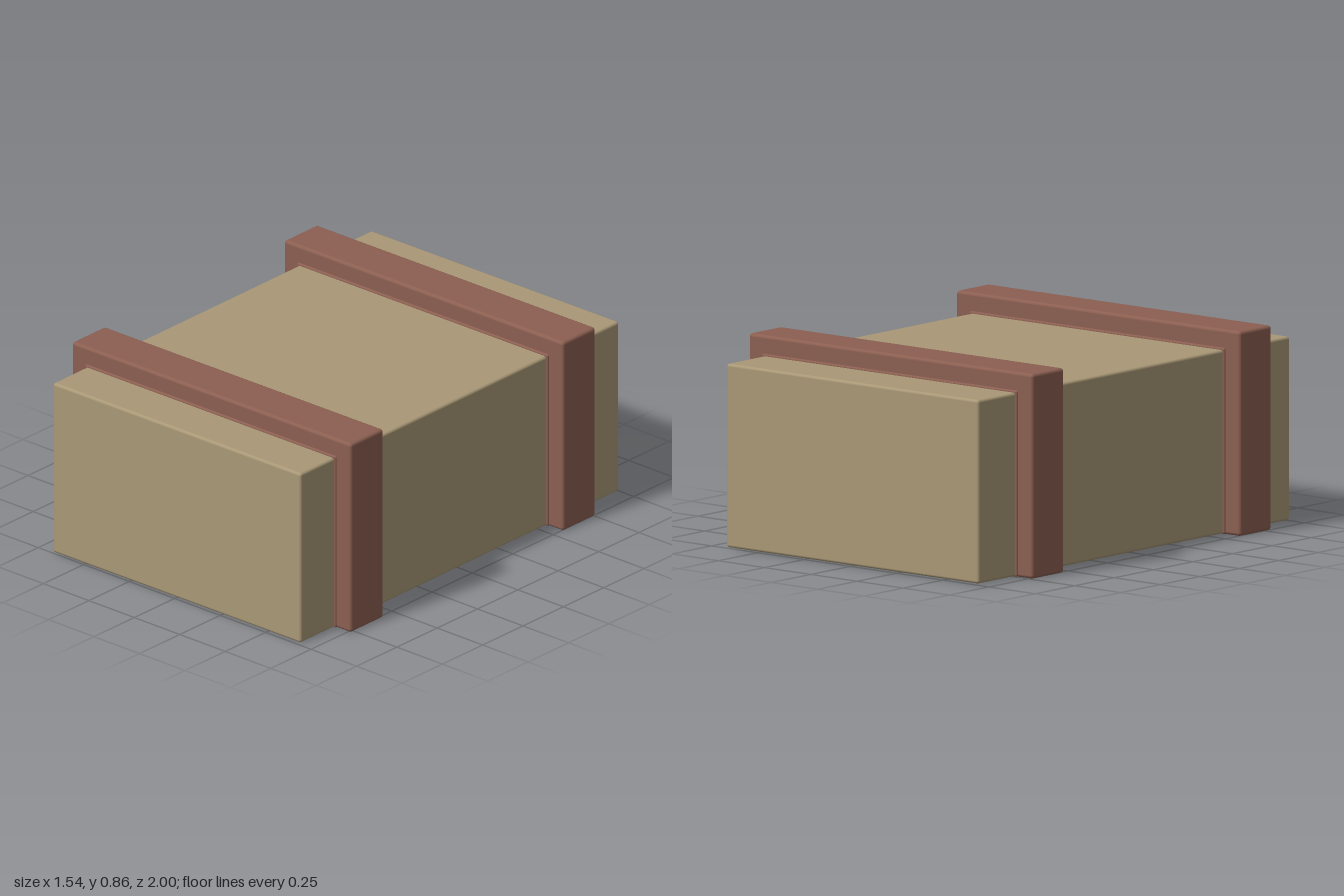
import * as THREE from 'three';
import { RoundedBoxGeometry } from 'three/addons/geometries/RoundedBoxGeometry.js';

const bodyMaterial = new THREE.MeshStandardMaterial({ color: 0xa99876 });
const bandMaterial = new THREE.MeshStandardMaterial({ color: 0x8b5f51 });

// Softly rounded block standing on height y, centred on z
function block(name, material, [w, h, d], y, z, radius) {
  const mesh = new THREE.Mesh(new RoundedBoxGeometry(w, h, d, 3, radius), material);
  mesh.name = name;
  mesh.position.set(0, y + h / 2, z);
  return mesh;
}

export function createModel() {
  const model = new THREE.Group();
  model.name = 'bandedCrate';

  // Long body, raised a hair so the bands wrap under it
  model.add(block('body', bodyMaterial, [1.356, 0.767, 1.99], 0.003, 0, 0.012));

  // Two bands, each with a narrow collar where it meets the body
  for (const [name, z] of [['frontBand', 0.676], ['backBand', -0.648]]) {
    const band = new THREE.Group();
    band.name = name;
    band.add(block('strap', bandMaterial, [1.527, 0.855, 0.206], 0, z, 0.014));
    band.add(block('collar', bandMaterial, [1.374, 0.777, 0.222], 0.002, z, 0.008));
    model.add(band);
  }

  // The whole crate sits very slightly turned
  model.rotation.y = 0.006;
  return model;
}
